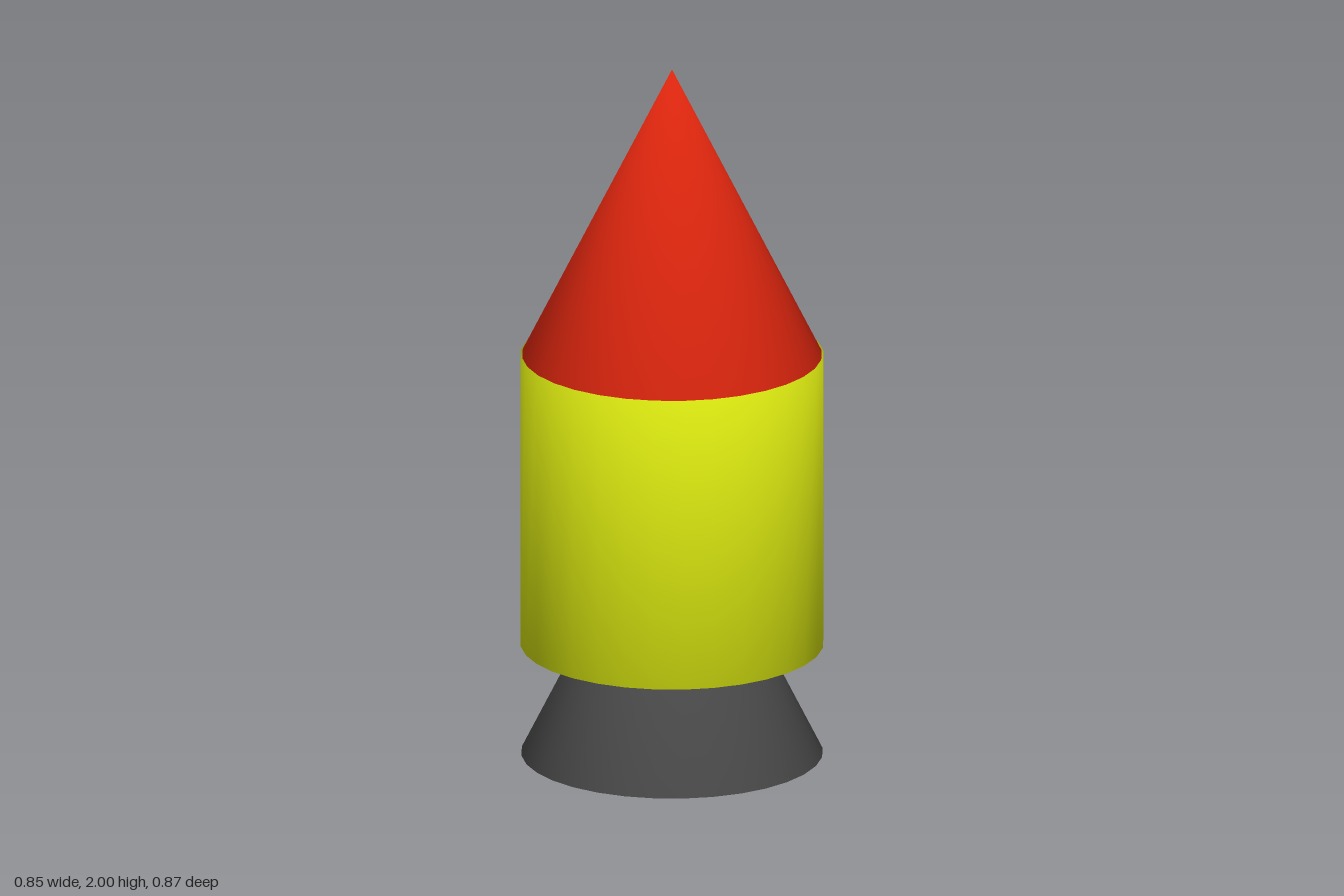
import * as THREE from 'three';
import { mergeVertices } from 'three/addons/utils/BufferGeometryUtils.js';

const SIDES = 32;
const AXIS_Z = 0.0125; // the hull sits slightly forward of centre

// Weld sides and caps so shading flows softly around the edges
function soften(geometry) {
  geometry.deleteAttribute('normal');
  geometry.deleteAttribute('uv');
  const welded = mergeVertices(geometry, 1e-4);
  welded.computeVertexNormals();
  return welded;
}

export function createModel() {
  const group = new THREE.Group();

  function add(name, geometry, color, x, y, z) {
    const mesh = new THREE.Mesh(geometry, new THREE.MeshStandardMaterial({ color }));
    mesh.name = name;
    mesh.position.set(x, y, z);
    group.add(mesh);
    return mesh;
  }

  // Exhaust cone, its tip hidden inside the hull
  const cone = soften(new THREE.ConeGeometry(0.421, 0.84, SIDES));
  add('exhaustCone', cone, 0x505050, 0, 0.42, AXIS_Z);

  // Hull
  const hull = soften(new THREE.CylinderGeometry(0.423, 0.423, 0.845, SIDES));
  add('hull', hull, 0xdcea10, 0, 0.7425, AXIS_Z);

  // Nose cone
  add('noseCone', cone, 0xe8280f, 0, 1.58, AXIS_Z);

  // Flat discs set into the back of the hull; outer face at z = back
  function addDisc(name, color, x, y, rx, ry, back) {
    const depth = 0.06;
    const disc = new THREE.CylinderGeometry(1, 1, depth, SIDES).rotateX(Math.PI / 2);
    disc.scale(rx, ry, 1);
    add(name, disc, color, x, y, back + depth / 2);
  }
  addDisc('window', 0x8cd9d9, -0.011, 0.988, 0.106, 0.104, -0.438);
  addDisc('door', 0x707070, 0, 0.57, 0.13, 0.205, -0.418);

  return group;
}
